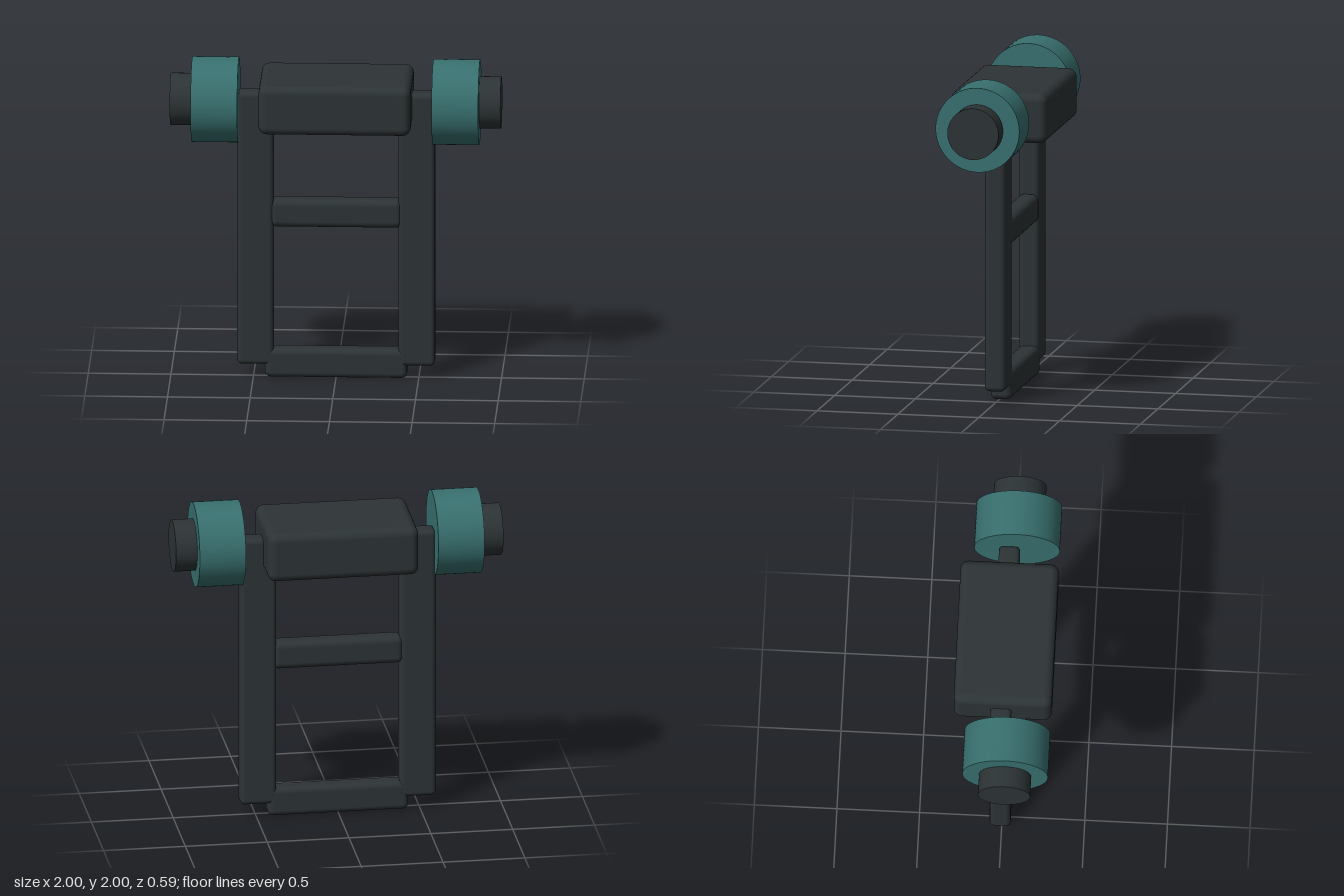
import * as THREE from 'three';
import { RoundedBoxGeometry } from 'three/addons/geometries/RoundedBoxGeometry.js';

export function createModel() {
  const model = new THREE.Group();
  model.name = 'ladderFrame';
  const dark = new THREE.MeshStandardMaterial({ color: 0x2d3436 });
  const teal = new THREE.MeshStandardMaterial({ color: 0x38706f });

  const add = (name, geometry, material, x, y, z) => {
    const mesh = new THREE.Mesh(geometry, material);
    mesh.name = name;
    mesh.position.set(x, y, z);
    model.add(mesh);
    return mesh;
  };
  // Softened bar given by its extents
  const bar = (name, [x0, x1], [y0, y1], [z0, z1], radius) =>
    add(name, new RoundedBoxGeometry(x1 - x0, y1 - y0, z1 - z0, 4, radius), dark,
      (x0 + x1) / 2, (y0 + y1) / 2, (z0 + z1) / 2);
  // Cylinder lying along x
  const roller = (name, x0, x1, radius, material) => {
    const geometry = new THREE.CylinderGeometry(radius, radius, Math.abs(x1 - x0), 64);
    geometry.rotateZ(Math.PI / 2);
    add(name, geometry, material, (x0 + x1) / 2, 1.742, 0.036);
  };

  // Head block and cross bars
  const depth = [-0.072, 0.054];
  bar('headBlock', [-0.46, 0.46], [1.588, 1.893], [-0.297, 0.297], 0.05);
  bar('middleRung', [-0.4, 0.4], [0.943, 1.117], depth, 0.04);
  bar('bottomRung', [-0.43, 0.43], [0, 0.18], depth, 0.035);

  // Side posts, wheels and axle ends
  for (const [side, s] of [['left', 1], ['right', -1]]) {
    const xs = [s * 0.377, s * 0.598].sort((a, b) => a - b);
    bar(side + 'Post', xs, [0.08, 1.79], depth, 0.03);
    roller(side + 'Wheel', s * 0.588, s * 0.87, 0.259, teal);
    roller(side + 'AxleEnd', s * 0.8, s * 1, 0.158, dark);
  }
  return model;
}
